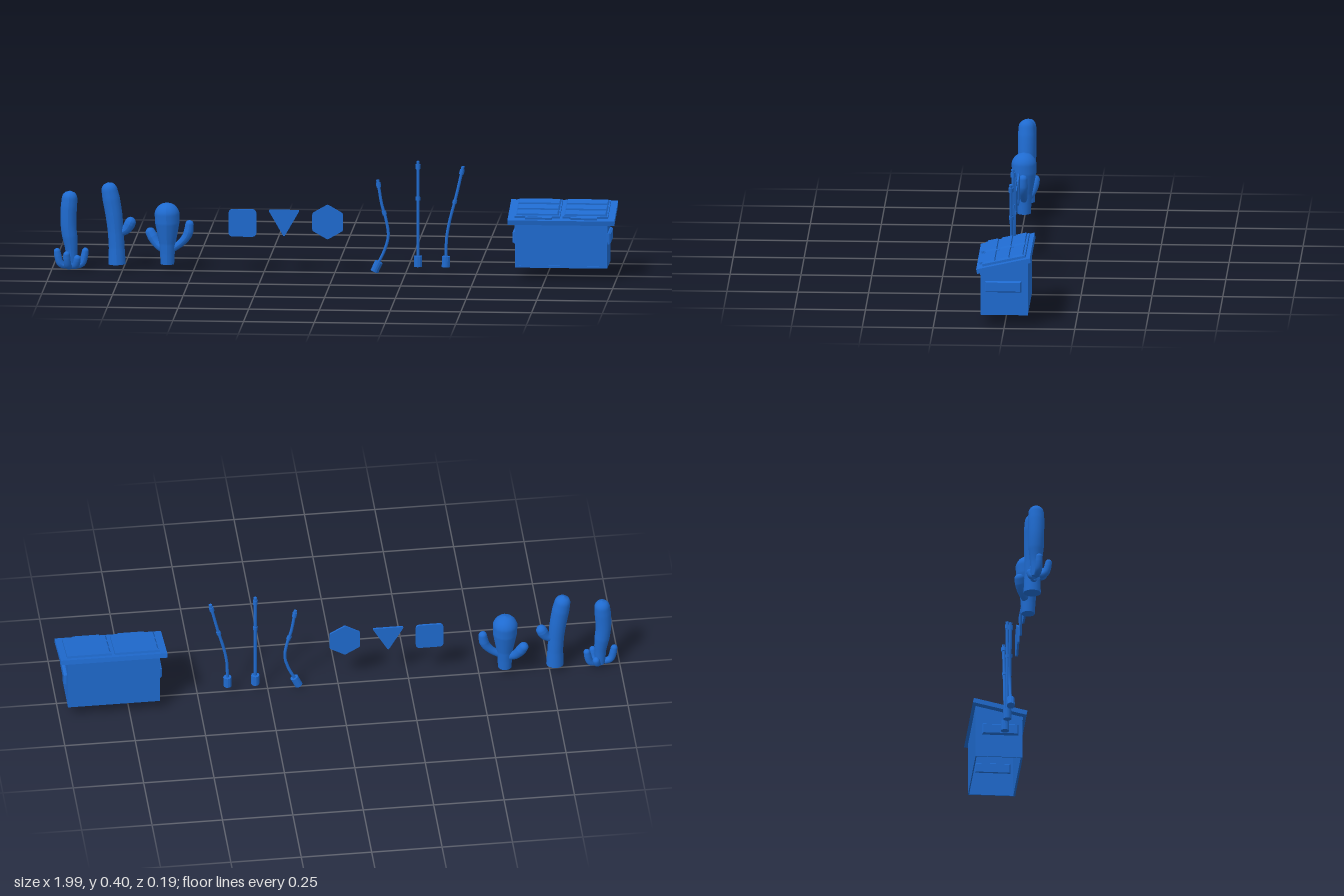
import * as THREE from 'three';

const material = new THREE.MeshStandardMaterial({ color: 0x1f6bd0, side: THREE.DoubleSide });
const flat = new THREE.MeshStandardMaterial({ color: 0x1f6bd0, side: THREE.DoubleSide, flatShading: true });
const V = (x, y, z = 0) => new THREE.Vector3(x, y, z);

function add(parent, name, geometry, x = 0, y = 0, z = 0, mat = flat) {
  const mesh = new THREE.Mesh(geometry, mat);
  mesh.name = name;
  mesh.position.set(x, y, z);
  parent.add(mesh);
  return mesh;
}

function group(parent, name) {
  const g = new THREE.Group();
  g.name = name;
  parent.add(g);
  return g;
}

// Tapered limb with a rounded tip and a flat base, swept along a curve
function limb(parent, name, points, radii) {
  const curve = new THREE.CatmullRomCurve3(points);
  const rings = 48, sides = 16, length = curve.getLength();
  const geo = new THREE.TubeGeometry(curve, rings, 1, sides);
  const pos = geo.attributes.position, v = new THREE.Vector3();
  for (let i = 0; i <= rings; i++) {
    const t = i / rings, centre = curve.getPointAt(t);
    const f = t * (radii.length - 1), k = Math.min(Math.floor(f), radii.length - 2);
    let r = THREE.MathUtils.lerp(radii[k], radii[k + 1], f - k);
    const d = Math.min(1, ((1 - t) * length) / radii[radii.length - 1]);
    r *= Math.sqrt(1 - (1 - d) ** 2);
    for (let j = 0; j <= sides; j++) {
      const n = i * (sides + 1) + j;
      v.fromBufferAttribute(pos, n).sub(centre).multiplyScalar(r).add(centre);
      pos.setXYZ(n, v.x, v.y, v.z);
    }
  }
  geo.computeVertexNormals();
  add(parent, name, geo, 0, 0, 0, material);
  const base = add(parent, name + 'Base', new THREE.CircleGeometry(radii[0], sides), 0, 0, 0, material);
  base.position.copy(points[0]);
  base.quaternion.setFromUnitVectors(V(0, 0, 1), curve.getTangentAt(0).negate());
}

function cacti(root) {
  const slim = group(root, 'slimCactus');
  limb(slim, 'trunk', [V(-0.93, 0.015), V(-0.932, 0.08), V(-0.942, 0.17), V(-0.936, 0.285)],
    [0.018, 0.021, 0.027, 0.028, 0.029, 0.026]);
  for (const [dx, dz, h] of [[-0.052, 0.008, 0.08], [0.052, -0.008, 0.08], [-0.014, 0.046, 0.075], [0.026, 0.036, 0.06], [0.02, -0.022, 0.05]]) {
    limb(slim, 'arm', [V(-0.932 + dx * 0.25, 0.016, dz * 0.25), V(-0.932 + dx * 0.7, 0.024, dz * 0.7),
      V(-0.932 + dx, h, dz)], [0.011, 0.013, 0.013, 0.011]);
  }

  const tall = group(root, 'tallCactus');
  limb(tall, 'trunk', [V(-0.77, 0.025), V(-0.772, 0.1), V(-0.781, 0.2), V(-0.802, 0.317)],
    [0.031, 0.028, 0.028, 0.03, 0.031, 0.026]);
  limb(tall, 'arm', [V(-0.765, 0.135), V(-0.737, 0.15), V(-0.714, 0.192)], [0.014, 0.017, 0.02, 0.017]);

  const round = group(root, 'roundCactus');
  limb(round, 'trunk', [V(-0.592, 0.027), V(-0.592, 0.13), V(-0.594, 0.247)],
    [0.024, 0.026, 0.029, 0.036, 0.043, 0.044, 0.042]);
  limb(round, 'leftArm', [V(-0.575, 0.08), V(-0.54, 0.107), V(-0.52, 0.135), V(-0.512, 0.185)],
    [0.012, 0.014, 0.017, 0.014]);
  limb(round, 'rightArm', [V(-0.6, 0.072, -0.005), V(-0.63, 0.095, -0.024), V(-0.663, 0.148, -0.04)],
    [0.012, 0.016, 0.019, 0.016]);
}

// Thin plate from an outline whose corners are rounded by radius r
function plate(root, name, corners, r, x, y) {
  const shape = new THREE.Shape();
  corners.forEach((c, i) => {
    const prev = corners[(i + corners.length - 1) % corners.length], next = corners[(i + 1) % corners.length];
    const a = prev.clone().sub(c).setLength(r).add(c), b = next.clone().sub(c).setLength(r).add(c);
    if (i) shape.lineTo(a.x, a.y); else shape.moveTo(a.x, a.y);
    shape.quadraticCurveTo(c.x, c.y, b.x, b.y);
  });
  const geo = new THREE.ExtrudeGeometry(shape, { depth: 0.007, bevelEnabled: false, curveSegments: 5 });
  add(root, name, geo, x, y, 0.005);
}

function signs(root) {
  const polygon = (n, radius, start) => Array.from({ length: n }, (_, i) => {
    const a = start + (i / n) * Math.PI * 2;
    return new THREE.Vector2(Math.cos(a) * radius, Math.sin(a) * radius);
  });
  plate(root, 'squareSign', polygon(4, 0.0695, Math.PI / 4), 0.016, -0.326, 0.179);
  plate(root, 'triangleSign', polygon(3, 0.065, -Math.PI / 2), 0.008, -0.179, 0.195);
  plate(root, 'hexagonSign', polygon(6, 0.0625, Math.PI / 2), 0.005, -0.025, 0.186);
}

// Thin bent pole with a heavy foot, a middle collar and a tip collar
function pole(root, name, points) {
  const g = group(root, name);
  const curve = new THREE.CatmullRomCurve3(points);
  add(g, 'rod', new THREE.TubeGeometry(curve, 32, 0.0055, 10), 0, 0, 0, material);
  const along = (part, r, h, t, shift = 0) => {
    const tangent = curve.getTangentAt(t);
    const m = add(g, part, new THREE.CylinderGeometry(r, r, h, 12));
    m.position.copy(curve.getPointAt(t)).addScaledVector(tangent, shift);
    m.quaternion.setFromUnitVectors(V(0, 1, 0), tangent);
  };
  along('foot', 0.0145, 0.038, 0, -0.01);
  along('middleCollar', 0.008, 0.013, 0.62);
  along('tipCollar', 0.0085, 0.017, 0.95);
  along('tip', 0.006, 0.006, 1);
}

function poles(root) {
  pole(root, 'leaningPole', [V(0.152, 0.036), V(0.177, 0.09), V(0.189, 0.14), V(0.18, 0.2), V(0.166, 0.25), V(0.152, 0.335)]);
  pole(root, 'straightPole', [V(0.294, 0.058), V(0.294, 0.17), V(0.294, 0.285), V(0.294, 0.404)]);
  pole(root, 'bentPole', [V(0.393, 0.058), V(0.395, 0.13), V(0.405, 0.19), V(0.427, 0.275), V(0.453, 0.387)]);
}

function dumpster(root) {
  const g = group(root, 'dumpster');
  g.position.x = 0.806;
  const t = 0.004, w = 0.322, bottom = 0.045, front = 0.205, back = 0.241;

  // Open-bottomed body with sloping end walls
  add(g, 'frontWall', new THREE.BoxGeometry(w, front - bottom, t), 0, (front + bottom) / 2, 0.079);
  add(g, 'backWall', new THREE.BoxGeometry(w, back - bottom, t), 0, (back + bottom) / 2, -0.081);
  const end = new THREE.Shape([[-0.083, bottom], [0.083, bottom], [0.081, front], [-0.083, back]]
    .map(([a, b]) => new THREE.Vector2(-a, b)));
  for (const side of [-1, 1]) {
    const geo = new THREE.ExtrudeGeometry(end, { depth: t, bevelEnabled: false });
    geo.rotateY(Math.PI / 2).translate(side * w / 2 - t / 2, 0, 0);
    add(g, 'endWall', geo);
    add(g, 'frontPost', new THREE.BoxGeometry(0.012, front - bottom, 0.005), side * (w / 2 - 0.006), (front + bottom) / 2, 0.0815);

    // Lifting pocket with bevelled edges
    const rect = new THREE.Shape([[-0.06, -0.016], [0.06, -0.016], [0.06, 0.016], [-0.06, 0.016]]
      .map(([a, b]) => new THREE.Vector2(a, b)));
    const pocket = new THREE.ExtrudeGeometry(rect, {
      depth: 0.007, bevelSize: 0.004, bevelThickness: 0.006, bevelSegments: 1,
    });
    pocket.rotateY(side * Math.PI / 2);
    add(g, 'sidePocket', pocket, side * w / 2, 0.149, 0.004);
  }
  add(g, 'frontRim', new THREE.BoxGeometry(0.328, 0.014, 0.006), 0, 0.197, 0.082);
  add(g, 'frontSill', new THREE.BoxGeometry(w, 0.008, 0.005), 0, 0.049, 0.0815);

  // Tilted lid: slab, two raised panels with ribs, and handles
  const lid = group(g, 'lid');
  lid.position.set(0, 0.229, 0.002);
  lid.rotation.x = 0.218;
  add(lid, 'lidSlab', new THREE.BoxGeometry(0.378, 0.017, 0.194));
  for (const side of [-1, 1]) {
    const x = side * 0.085;
    add(lid, 'lidPanel', new THREE.BoxGeometry(0.16, 0.009, 0.156), x, 0.012, -0.003);
    for (const z of [-0.054, -0.003, 0.048]) {
      const rib = new THREE.CylinderGeometry(0.1, 0.107, 0.006, 4, 1);
      rib.rotateY(Math.PI / 4).scale(1, 1, 0.26);
      add(lid, 'lidRib', rib, x, 0.0195, z);
    }
    add(lid, 'lidHandle', new THREE.BoxGeometry(0.094, 0.008, 0.012), x * 0.94, 0.012, 0.081);
  }
}

export function createModel() {
  const root = new THREE.Group();
  root.name = 'streetProps';
  cacti(root);
  signs(root);
  poles(root);
  dumpster(root);
  return root;
}
